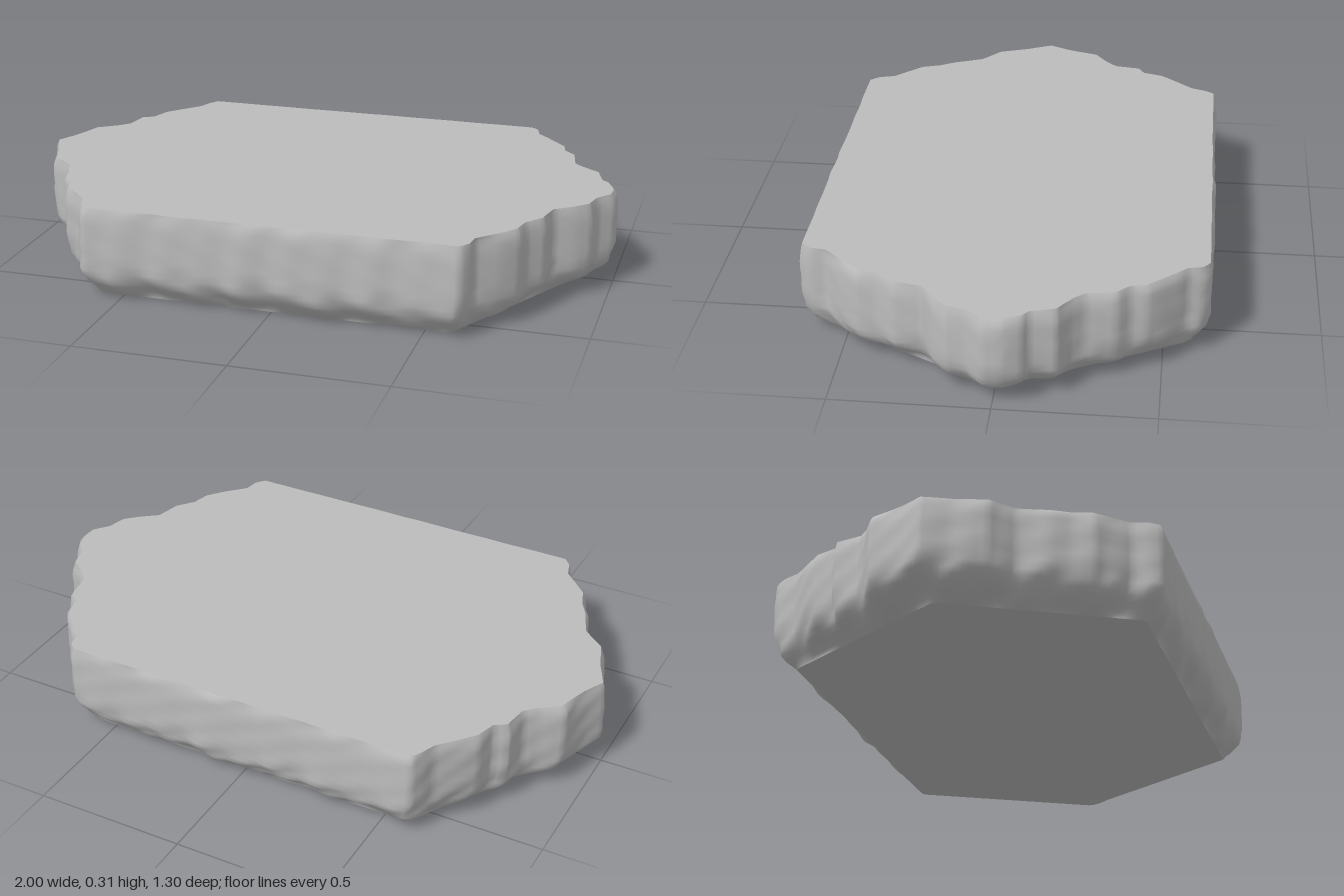
import * as THREE from 'three';

const HEIGHT = 0.31;

// ragged hexagonal outline (x, z): right end from back to front, left end from front to back
const RIGHT = [[0.615, -0.645], [0.64, -0.62], [0.65, -0.57], [0.69, -0.53], [0.765, -0.45], [0.775, -0.4],
  [0.815, -0.36], [0.83, -0.265], [0.86, -0.235], [0.93, -0.19], [0.95, -0.11], [0.975, -0.09], [0.998, -0.03],
  [0.998, 0.03], [0.957, 0.08], [0.945, 0.145], [0.9, 0.185], [0.835, 0.23], [0.82, 0.32], [0.772, 0.375],
  [0.76, 0.44], [0.71, 0.5], [0.65, 0.56], [0.645, 0.61], [0.62, 0.645]];
const LEFT = [[-0.61, 0.645], [-0.635, 0.61], [-0.65, 0.555], [-0.7, 0.51], [-0.745, 0.465], [-0.765, 0.4],
  [-0.8, 0.34], [-0.84, 0.245], [-0.92, 0.185], [-0.955, 0.08], [-0.998, -0.01], [-0.965, -0.08],
  [-0.95, -0.12], [-0.93, -0.19], [-0.86, -0.235], [-0.825, -0.27], [-0.815, -0.36], [-0.775, -0.38],
  [-0.755, -0.45], [-0.7, -0.51], [-0.655, -0.56], [-0.635, -0.61], [-0.615, -0.645]];

// wall profile: height, and how far it closes in towards the plain base hexagon
const PROFILE = [[0, 1], [0.015, 0.82], [0.03, 0.6], [0.045, 0.42], [0.06, 0.25], [0.08, 0.12], [0.1, 0.05],
  [0.13, 0.01], [0.16, 0], [0.19, 0], [0.22, 0], [0.25, 0], [0.275, 0.02], [0.295, 0.06], [HEIGHT, 0.13]];

// evenly spaced points around the outline
function sampleOutline(step) {
  const corners = [...RIGHT, ...LEFT];
  const points = [];
  corners.forEach(([x, z], i) => {
    const [nx, nz] = corners[(i + 1) % corners.length];
    const n = Math.max(1, Math.round(Math.hypot(nx - x, nz - z) / step));
    for (let k = 0; k < n; k++) points.push([x + (nx - x) * k / n, z + (nz - z) * k / n]);
  });
  return points;
}

// point of the base hexagon in the direction of (x, z)
function basePoint(x, z) {
  const ax = Math.abs(x), az = Math.abs(z);
  const s = Math.min(0.575 / Math.max(az, 1e-6), 0.885 / (ax + az * (0.305 / 0.575)));
  return [x * s, z * s];
}

// gentle chisel marks, mostly vertical, breaking up near the base
function roughness(x, y, z) {
  const ridges = Math.sin(x * 19 + z * 7 + 1) * Math.sin(x * 11 - z * 13 + 2) * 0.006;
  const chips = Math.sin(x * 37 + y * 29) * Math.sin(z * 33 - y * 41 + x * 9) * 0.005;
  return (ridges + chips * (y < 0.12 ? 1.6 : 0.6)) * Math.min(1, y / 0.03) * (y >= HEIGHT ? 0.2 : 1);
}

function makeRings() {
  const outline = sampleOutline(0.018);
  return PROFILE.map(([y, t]) => outline.map(([x, z]) => {
    const [bx, bz] = basePoint(x, z);
    const wave = y > 0 && y < 0.12 ? 0.12 * Math.sin(x * 17 + z * 23) * t : 0;
    const k = t + wave;
    const px = x + (bx - x) * k, pz = z + (bz - z) * k;
    const r = roughness(px, y, pz) / Math.hypot(px, pz);
    return [THREE.MathUtils.clamp(px * (1 + r), -1, 1), y, pz * (1 + r)];
  }));
}

function toGeometry(points, index) {
  const geometry = new THREE.BufferGeometry();
  geometry.setAttribute('position', new THREE.Float32BufferAttribute(points.flat(), 3));
  geometry.setIndex(index);
  geometry.computeVertexNormals();
  return geometry;
}

function wallGeometry(rings) {
  const n = rings[0].length, index = [];
  for (let r = 0; r < rings.length - 1; r++) {
    for (let i = 0; i < n; i++) {
      const j = (i + 1) % n;
      const a = r * n + i, b = r * n + j, c = a + n, d = b + n;
      index.push(a, c, b, b, c, d);
    }
  }
  return toGeometry(rings.flat(), index);
}

function capGeometry(ring, up) {
  const n = ring.length, index = [];
  for (let i = 0; i < n; i++) {
    const j = (i + 1) % n;
    index.push(n, up ? j : i, up ? i : j);
  }
  return toGeometry([...ring, [0, ring[0][1], 0]], index);
}

export function createModel() {
  const stone = new THREE.MeshStandardMaterial({ color: 0xbcbcbc });
  stone.name = 'grey stone';
  const rings = makeRings();
  const group = new THREE.Group();
  group.name = 'stoneSlab';
  const add = (name, geometry) => {
    const mesh = new THREE.Mesh(geometry, stone);
    mesh.name = name;
    group.add(mesh);
  };
  add('roughWall', wallGeometry(rings));
  add('flatTop', capGeometry(rings[rings.length - 1], true));
  add('flatBase', capGeometry(rings[0], false));
  return group;
}
